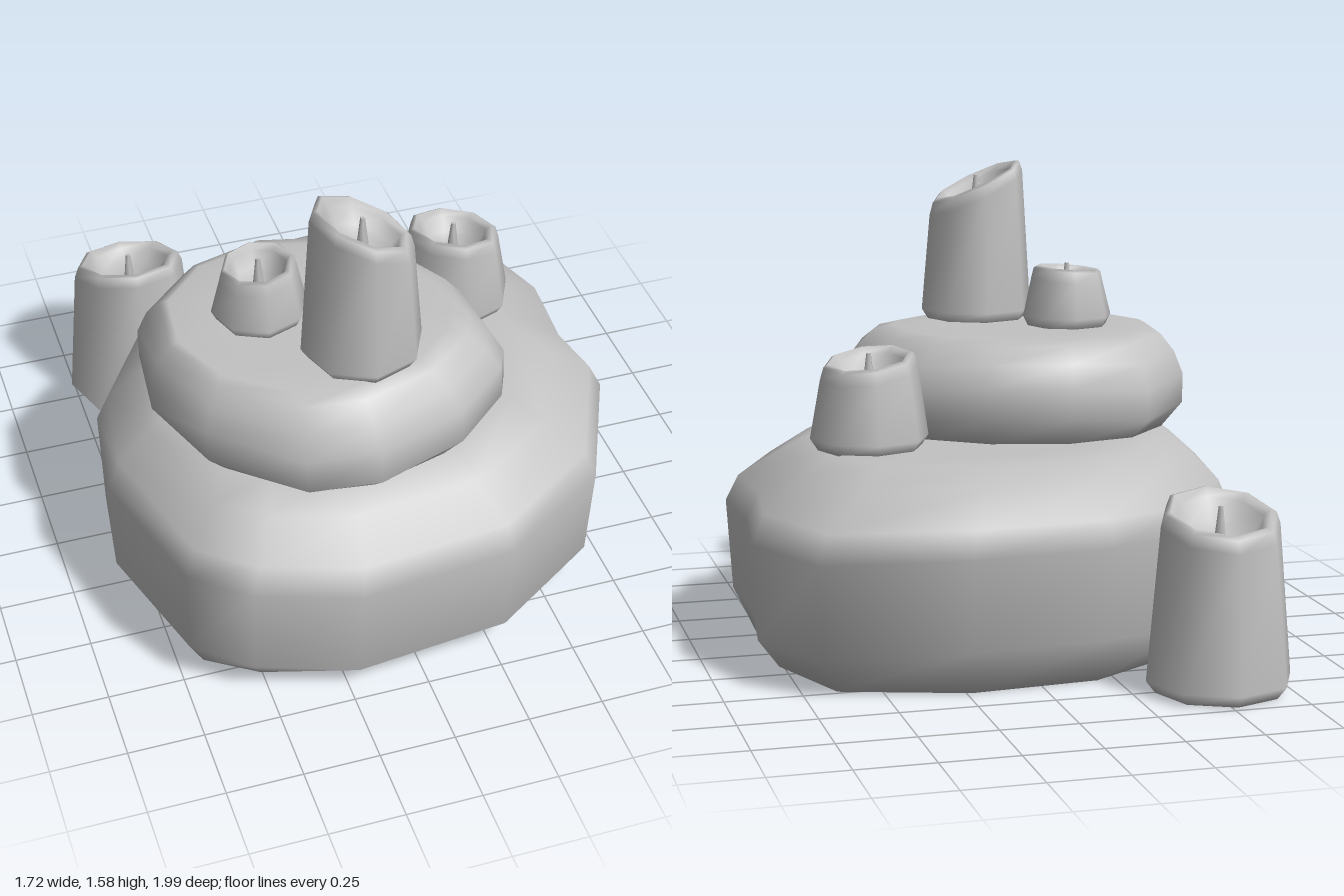
import * as THREE from 'three';

const grey = new THREE.MeshStandardMaterial({ color: 0xc2c2c2 });
grey.name = 'stone grey';

// Closed smooth skin over rings of [x, y, z] points, listed from bottom to top
function loft(rings) {
  const n = rings[0].length, last = (rings.length - 1) * n;
  const points = rings.flat();
  const index = [];
  for (let r = 0; r < rings.length - 1; r++) {
    for (let i = 0; i < n; i++) {
      const a = r * n + i, b = r * n + (i + 1) % n;
      index.push(a, a + n, b, a + n, b + n, b);
    }
  }
  const middle = (ring) => [0, 1, 2].map((k) => ring.reduce((s, p) => s + p[k], 0) / n);
  const low = points.push(middle(rings[0])) - 1;
  const high = points.push(middle(rings[rings.length - 1])) - 1;
  for (let i = 0; i < n; i++) {
    const j = (i + 1) % n;
    index.push(low, i, j, high, last + j, last + i);
  }
  const geo = new THREE.BufferGeometry();
  geo.setAttribute('position', new THREE.Float32BufferAttribute(points.flat(), 3));
  geo.setIndex(index);
  geo.computeVertexNormals();
  return geo;
}

// Boulder: one plan outline, resized at each level [y, scaleX, scaleZ, dx, dz, waviness]
function boulder(name, outline, cx, cz, levels) {
  const rings = levels.map(([y, sx, sz, dx, dz, wave]) => outline.map(([x, z], i) => [
    cx + (x - cx) * sx + dx,
    y + wave * Math.sin(i * 1.3 + 1),
    cz + (z - cz) * sz + dz,
  ]));
  const mesh = new THREE.Mesh(loft(rings), grey);
  mesh.name = name;
  return mesh;
}

// Eight-sided candle with a sloping, hollowed top and a wick
function candle(name, x, y, z, radius, height, slopeX, slopeZ, taper) {
  const group = new THREE.Group();
  group.name = name;
  group.position.set(x, y, z);
  const t = radius * taper;
  // [radius, height, follows the slope]
  const profile = [
    [radius * 0.87, 0, 0], [radius, 0.04, 0], [t, height - 0.045, 1],
    [t * 0.93, height - 0.008, 1], [t * 0.84, height, 1],
    [t * 0.72, height - 0.02, 1], [t * 0.55, height - 0.07, 0.8], [t * 0.2, height - 0.085, 0.5],
  ];
  const rings = profile.map(([r, h, follow]) => Array.from({ length: 8 }, (_, i) => {
    const a = (i / 8) * Math.PI * 2 + 0.05;
    const px = r * Math.cos(a), pz = r * Math.sin(a);
    return [px, h + follow * (px * slopeX + pz * slopeZ), pz];
  }));
  const wax = new THREE.Mesh(loft(rings), grey);
  wax.name = name + 'Wax';
  const wick = new THREE.Mesh(new THREE.CylinderGeometry(0.008, 0.02, 0.1, 5), grey);
  wick.name = name + 'Wick';
  wick.position.y = height - 0.035;
  group.add(wax, wick);
  return group;
}

export function createModel() {
  const model = new THREE.Group();
  model.name = 'candlesOnStones';

  // Large lower stone
  model.add(boulder('lowerStone', [
    [-0.2, -0.73], [0.27, -0.77], [0.72, -0.62], [0.86, -0.23], [0.83, 0.06], [0.86, 0.29], [0.67, 0.71],
    [0.3, 0.94], [-0.22, 0.99], [-0.55, 0.9], [-0.73, 0.77], [-0.86, 0.28], [-0.81, -0.1], [-0.57, -0.48],
  ], 0, 0.11, [
    [0, 0.9, 0.84, -0.01, 0.02, 0],
    [0.13, 0.985, 0.95, -0.01, 0.03, 0.03],
    [0.45, 1, 1, 0, 0, 0.02],
    [0.54, 0.95, 0.965, 0, 0, 0.015],
    [0.64, 0.8, 0.82, -0.02, 0, 0.005],
    [0.695, 0.7, 0.68, -0.03, 0, 0],
    [0.697, 0.5, 0.5, -0.03, 0, 0],
  ]));

  // Smaller stone resting on it
  model.add(boulder('upperStone', [
    [-0.21, -0.24], [0.07, -0.17], [0.28, -0.02], [0.41, 0.21], [0.42, 0.47], [0.37, 0.58], [0.18, 0.74],
    [-0.11, 0.82], [-0.34, 0.79], [-0.6, 0.58], [-0.71, 0.31], [-0.68, 0.03], [-0.49, -0.17],
  ], -0.14, 0.3, [
    [0.692, 0.87, 0.91, 0, 0, 0],
    [0.77, 1, 1.02, 0, 0.01, 0.02],
    [0.87, 1, 1, 0, 0, 0.02],
    [0.95, 0.93, 0.94, -0.01, 0, 0.015],
    [1.01, 0.84, 0.83, -0.02, 0, 0.005],
    [1.03, 0.76, 0.74, -0.04, 0, 0],
    [1.032, 0.5, 0.5, -0.04, 0, 0],
  ]));

  // Candles: on the upper stone, on the lower stone and on the ground
  model.add(
    candle('tallCandle', -0.077, 1.025, 0.515, 0.195, 0.49, -0.46, 0, 0.85),
    candle('smallCandle', -0.33, 1.025, 0.245, 0.155, 0.205, 0.08, 0, 0.82),
    candle('sideCandle', 0.435, 0.69, -0.055, 0.197, 0.3, -0.14, 0.12, 0.82),
    candle('groundCandle', -0.53, 0, -0.765, 0.238, 0.575, 0, 0.27, 0.82),
  );
  return model;
}
